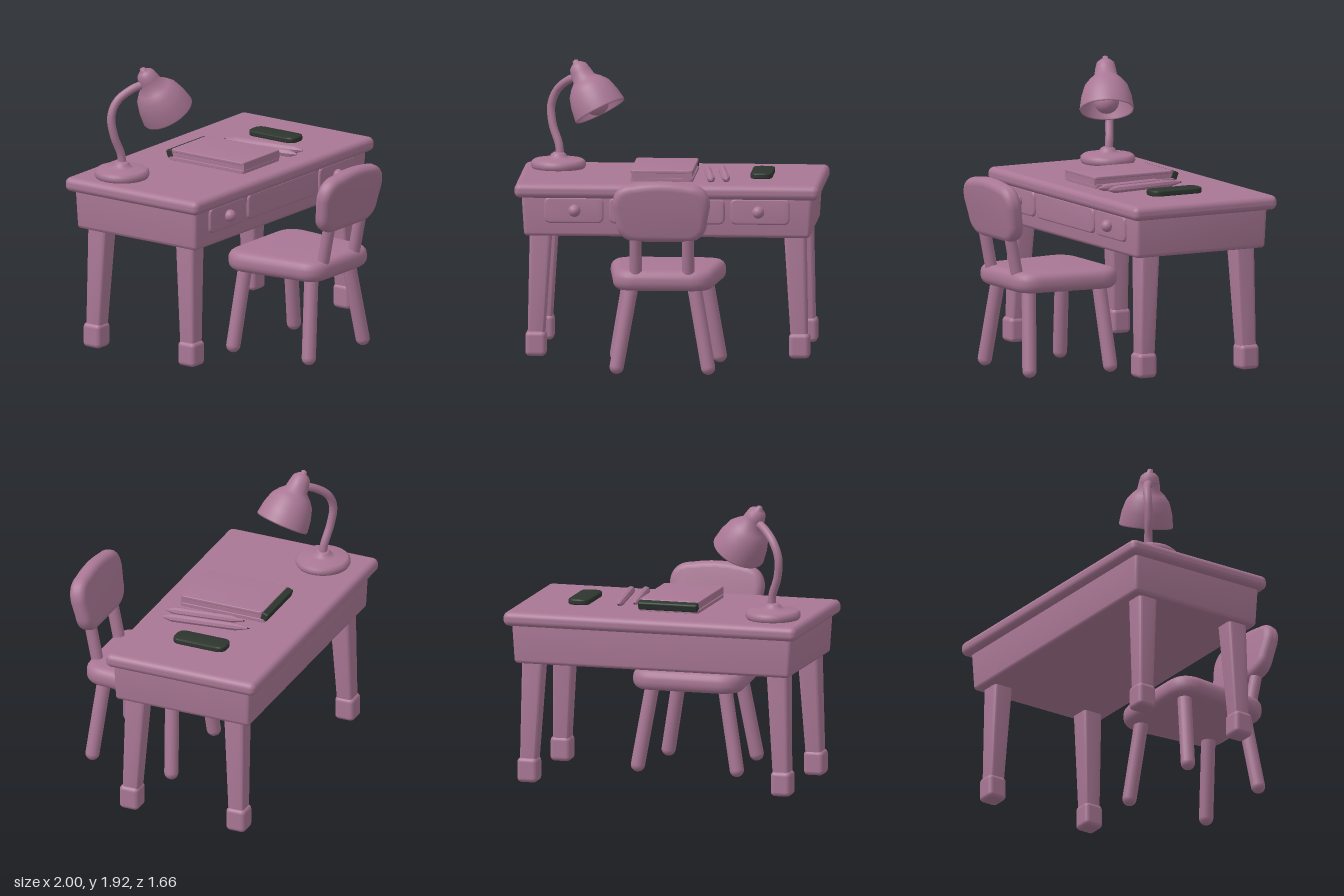
import * as THREE from 'three';
import { toCreasedNormals } from 'three/addons/utils/BufferGeometryUtils.js';
import { RoundedBoxGeometry } from 'three/addons/geometries/RoundedBoxGeometry.js';

const V = (x, y, z) => new THREE.Vector3(x, y, z);

export function createModel() {
  const mauve = new THREE.MeshStandardMaterial({ color: 0xa97795 });
  mauve.name = 'mauve';
  const dark = new THREE.MeshStandardMaterial({ color: 0x2d362e });
  dark.name = 'dark green';

  const model = new THREE.Group();
  model.name = 'deskSet';
  const group = (name) => {
    const g = new THREE.Group();
    g.name = name;
    model.add(g);
    return g;
  };
  const add = (parent, name, geometry, x = 0, y = 0, z = 0, material = mauve) => {
    const mesh = new THREE.Mesh(geometry, material);
    mesh.name = name;
    mesh.position.set(x, y, z);
    parent.add(mesh);
    return mesh;
  };

  // Soft-edged plate facing z; arch lifts the middle of its top edge
  const plate = (wBottom, wTop, h, t, r, bevel, arch = 0) => {
    const b = wBottom / 2 - bevel, a = wTop / 2 - bevel, k = h / 2 - bevel;
    const s = new THREE.Shape();
    s.moveTo(-b + r, -k);
    s.lineTo(b - r, -k);
    s.quadraticCurveTo(b, -k, b, -k + r);
    s.lineTo(a, k - r);
    s.quadraticCurveTo(a, k, a - r, k);
    s.quadraticCurveTo(0, k + arch * 2, -a + r, k);
    s.quadraticCurveTo(-a, k, -a, k - r);
    s.lineTo(-b, -k + r);
    s.quadraticCurveTo(-b, -k, -b + r, -k);
    const geo = new THREE.ExtrudeGeometry(s, {
      depth: t - bevel * 2, bevelSize: bevel, bevelThickness: bevel, bevelSegments: 4, curveSegments: 8,
    });
    geo.translate(0, 0, bevel - t / 2);
    return toCreasedNormals(geo, 0.8);
  };
  const flatPlate = (...args) => plate(...args).rotateX(-Math.PI / 2);

  // Round-ended rod between two points
  const rod = (parent, name, from, to, radius) => {
    const d = to.clone().sub(from);
    const mesh = add(parent, name, new THREE.CapsuleGeometry(radius, d.length() - radius * 2, 6, 18));
    mesh.position.copy(from).lerp(to, 0.5);
    mesh.quaternion.setFromUnitVectors(V(0, 1, 0), d.normalize());
    return mesh;
  };
  const lathe = (points, segments = 40) =>
    new THREE.LatheGeometry(points.map(([x, y]) => new THREE.Vector2(x, y)), segments);

  // Box whose cross-section shrinks and shifts toward the bottom
  const taperedBox = (w, h, d, r, scale, dx = 0, dz = 0) => {
    const geo = new RoundedBoxGeometry(w, h, d, 4, r);
    const p = geo.attributes.position;
    for (let i = 0; i < p.count; i++) {
      const f = 0.5 - p.getY(i) / h;
      const k = 1 + (scale - 1) * f;
      p.setX(i, p.getX(i) * k + dx * f);
      p.setZ(i, p.getZ(i) * k + dz * f);
    }
    geo.computeVertexNormals();
    return toCreasedNormals(geo, 0.7);
  };

  // Desk body
  const desk = group('desk');
  add(desk, 'deskTop', new RoundedBoxGeometry(2, 0.095, 1.075, 4, 0.04), 0, 1.142, -0.292);
  add(desk, 'deskBody', taperedBox(1.91, 0.28, 0.98, 0.025, 0.982), 0, 0.98, -0.285);
  for (const [x, w] of [[-0.61, 0.39], [0, 0.76], [0.61, 0.39]]) {
    add(desk, 'drawerFront', plate(w, w, 0.17, 0.04, 0.03, 0.012), x, 1.015, 0.197);
  }
  for (const x of [-0.605, 0.6]) {
    add(desk, 'drawerKnob', new THREE.SphereGeometry(0.04, 24, 16), x, 1.015, 0.232);
  }

  // Desk legs with block feet
  for (const s of [-1, 1]) {
    for (const [zTop, zFoot] of [[0.07, 0.105], [-0.635, -0.66]]) {
      add(desk, 'deskLeg', taperedBox(0.145, 0.8, 0.145, 0.025, 0.74, s * 0.033, zFoot - zTop),
        s * 0.832, 0.5, zTop);
      add(desk, 'deskFoot', new RoundedBoxGeometry(0.137, 0.165, 0.137, 4, 0.03), s * 0.864, 0.123, zFoot);
    }
  }

  // Chair
  const chair = group('chair');
  add(chair, 'chairSeat', flatPlate(0.67, 0.755, 0.74, 0.135, 0.1, 0.055), 0.005, 0.62, 0.35);
  const back = add(chair, 'chairBack', plate(0.6, 0.64, 0.39, 0.11, 0.1, 0.045, 0.018), 0, 1.08, 0.744);
  back.rotation.x = 0.19;
  for (const s of [-1, 1]) {
    rod(chair, 'backPost', V(s * 0.172, 0.6, 0.655), V(s * 0.172, 1.0, 0.735), 0.04);
    rod(chair, 'rearChairLeg', V(s * 0.308, 0, 0.65), V(s * 0.198, 0.62, 0.595), 0.047);
    rod(chair, 'frontChairLeg', V(s * 0.345, 0, 0.06), V(s * 0.24, 0.62, 0.1), 0.047);
  }

  // Lamp base and curved neck
  const lamp = group('lamp');
  add(lamp, 'lampBase', lathe([
    [0, 0], [0.17, 0], [0.181, 0.02], [0.178, 0.045], [0.16, 0.06], [0.08, 0.068],
    [0.055, 0.075], [0.052, 0.09], [0.035, 0.105], [0, 0.108],
  ]), -0.76, 1.187, -0.53);
  const neck = new THREE.CatmullRomCurve3([
    V(-0.75, 1.25, -0.53), V(-0.757, 1.34, -0.54), V(-0.8, 1.47, -0.565), V(-0.81, 1.6, -0.58),
    V(-0.77, 1.7, -0.56), V(-0.69, 1.775, -0.495), V(-0.61, 1.81, -0.43),
  ]);
  add(lamp, 'lampNeck', new THREE.TubeGeometry(neck, 48, 0.027, 14));

  // Tilted lamp head: shade, with an inner wall, and bulb
  const head = new THREE.Group();
  head.name = 'lampHead';
  head.position.set(-0.65, 1.915, -0.45);
  head.quaternion.setFromUnitVectors(V(0, -1, 0), V(0.175, -0.325, 0.085).normalize());
  lamp.add(head);
  add(head, 'lampShade', lathe([
    [0, -0.16], [0.07, -0.165], [0.12, -0.205], [0.153, -0.28], [0.168, -0.375], [0.174, -0.382],
    [0.178, -0.372], [0.166, -0.29], [0.143, -0.215], [0.11, -0.172], [0.076, -0.14], [0.068, -0.09],
    [0.058, -0.05], [0.036, -0.03], [0.02, -0.022], [0.018, -0.006], [0, 0],
  ]));
  add(head, 'lampBulb', new THREE.SphereGeometry(0.082, 28, 20), 0, -0.32, 0);
  add(head, 'bulbSocket', new THREE.CylinderGeometry(0.045, 0.045, 0.12, 20), 0, -0.21, 0);

  // Notebook with a dark rear edge
  const book = group('notebook');
  add(book, 'bottomCover', flatPlate(0.41, 0.41, 0.61, 0.025, 0.02, 0.006), -0.043, 1.2, -0.225);
  add(book, 'pages', new THREE.BoxGeometry(0.395, 0.045, 0.59), -0.043, 1.23, -0.217);
  add(book, 'topCover', flatPlate(0.41, 0.41, 0.59, 0.02, 0.02, 0.006), -0.043, 1.254, -0.215);
  const edge = add(book, 'rearEdge', new RoundedBoxGeometry(0.405, 0.055, 0.05, 3, 0.012),
    -0.043, 1.23, -0.522, dark);
  edge.rotation.x = -0.35;

  // Pencils
  const pencils = group('pencils');
  for (const [x0, z0, x1, z1] of [[0.222, -0.42, 0.287, 0.12], [0.31, -0.49, 0.385, 0.1]]) {
    const d = V(x1 - x0, 0, z1 - z0), n = d.length();
    const pencil = new THREE.Group();
    pencil.name = 'pencil';
    pencil.position.set(x0, 1.21, z0);
    pencil.quaternion.setFromUnitVectors(V(0, 1, 0), d.normalize());
    pencils.add(pencil);
    add(pencil, 'pencilBody', toCreasedNormals(lathe([
      [0, 0.015], [0.007, 0.02], [0.025, 0.1], [0.027, n - 0.06], [0.006, n], [0, n],
    ], 8), 0.5));
    add(pencil, 'pencilTip', new THREE.ConeGeometry(0.009, 0.03, 8).rotateX(Math.PI), 0, 0.015, 0, dark);
  }

  // Phone
  const phone = group('phone');
  add(phone, 'phoneBody', flatPlate(0.145, 0.145, 0.375, 0.038, 0.05, 0.01), 0.597, 1.207, -0.272, dark);

  return model;
}
